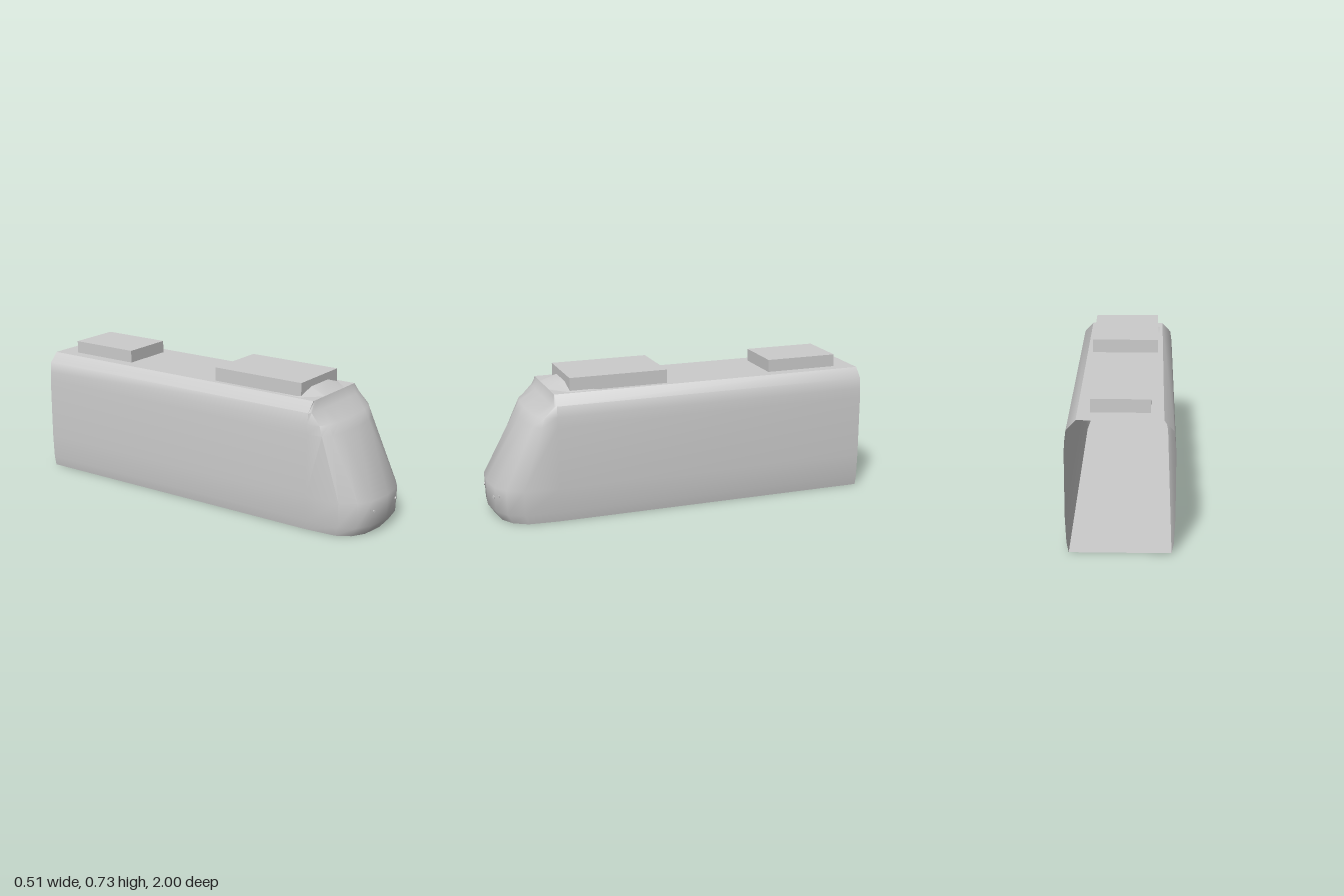
import * as THREE from 'three';
import { toCreasedNormals } from 'three/addons/utils/BufferGeometryUtils.js';

const paint = new THREE.MeshStandardMaterial({ color: 0xcccccc, side: THREE.DoubleSide });
paint.name = 'light grey';

const NOSE = 0.68, BACK = -1;
// shell levels: height, half width, foremost z
const LEVELS = [
  [0, 0.24, 0.96], [0.05, 0.25, 0.995], [0.18, 0.256, 1.0], [0.5, 0.256, 0.818],
  [0.55, 0.253, 0.79], [0.605, 0.246, 0.7], [0.655, 0.2, NOSE],
];
// nose plan: share of half width, share of nose length
const PLAN = [[1, 0], [0.95, 0.56], [0.78, 0.81], [0.5, 0.95], [0, 1]];

// outline of one level, from the left rear round the nose to the right rear
function outline([y, w, zf]) {
  const half = [[w, y, BACK], ...PLAN.map(([u, v]) => [u * w, y, NOSE + v * (zf - NOSE)])];
  return [...half, ...half.slice(0, -1).reverse().map(([x, py, z]) => [-x, py, z])];
}

function geometryFrom(points, index, crease) {
  const g = new THREE.BufferGeometry();
  g.setAttribute('position', new THREE.Float32BufferAttribute(points.flat(), 3));
  g.setIndex(index);
  return toCreasedNormals(g, crease);
}

// car shell with floor and roof, open at the rear
function shellGeometry() {
  const rows = LEVELS.map(outline), n = rows[0].length, index = [];
  for (let j = 0; j < rows.length - 1; j++) {
    for (let i = 0; i < n - 1; i++) {
      const a = j * n + i, b = a + n;
      index.push(a, b, a + 1, b, b + 1, a + 1);
    }
  }
  const top = (rows.length - 1) * n;
  for (let i = 0; i < (n - 1) / 2; i++) {
    const l = i, l2 = i + 1, r = n - 1 - i, r2 = n - 2 - i;
    index.push(r, l, r2, r2, l, l2);
    if (i === 0) index.push(top + r, top + r2, top + l, top + r2, top + l2, top + l);
  }
  return geometryFrom(rows.flat(), index, 0.8);
}

// low fairing in front of the forward roof unit
function fairingGeometry() {
  const sections = [
    [0.68, 0.1, 0.08, 0.656], [0.59, 0.185, 0.08, 0.688], [0.45, 0.185, 0.08, 0.66],
  ];
  const points = sections.flatMap(([z, w, t, y]) =>
    [[w, 0.655, z], [t, y, z], [-t, y, z], [-w, 0.655, z]]);
  const index = [];
  for (let s = 0; s < 2; s++) {
    for (let i = 0; i < 3; i++) {
      const a = s * 4 + i, b = a + 4;
      index.push(a, a + 1, b, a + 1, b + 1, b);
    }
  }
  return geometryFrom(points, index, 0.5);
}

export function createModel() {
  const model = new THREE.Group();
  model.name = 'tramCar';
  const add = (name, geometry, x = 0, y = 0, z = 0) => {
    const mesh = new THREE.Mesh(geometry, paint);
    mesh.name = name;
    mesh.position.set(x, y, z);
    model.add(mesh);
    return mesh;
  };

  add('carShell', shellGeometry());
  add('roofFairing', fairingGeometry());

  // roof equipment
  add('frontRoofUnit', new THREE.BoxGeometry(0.344, 0.07, 0.515), 0, 0.69, 0.335);
  add('rearRoofUnit', new THREE.BoxGeometry(0.28, 0.065, 0.385), 0, 0.6875, -0.7);

  // small hexagonal lamps on the nose
  const lamp = new THREE.CylinderGeometry(0.008, 0.008, 0.008, 6).rotateX(Math.PI / 2);
  for (const [x, y] of [[-0.13, 0.133], [-0.112, 0.125], [0.112, 0.125], [0.13, 0.133], [0.148, 0.14]]) {
    const z = 0.99 - Math.max(0, Math.abs(x) - 0.112) * 0.5;
    add('lamp', lamp, x, y, z - 0.005).rotation.y = Math.sign(x) * 0.3;
  }
  return model;
}
